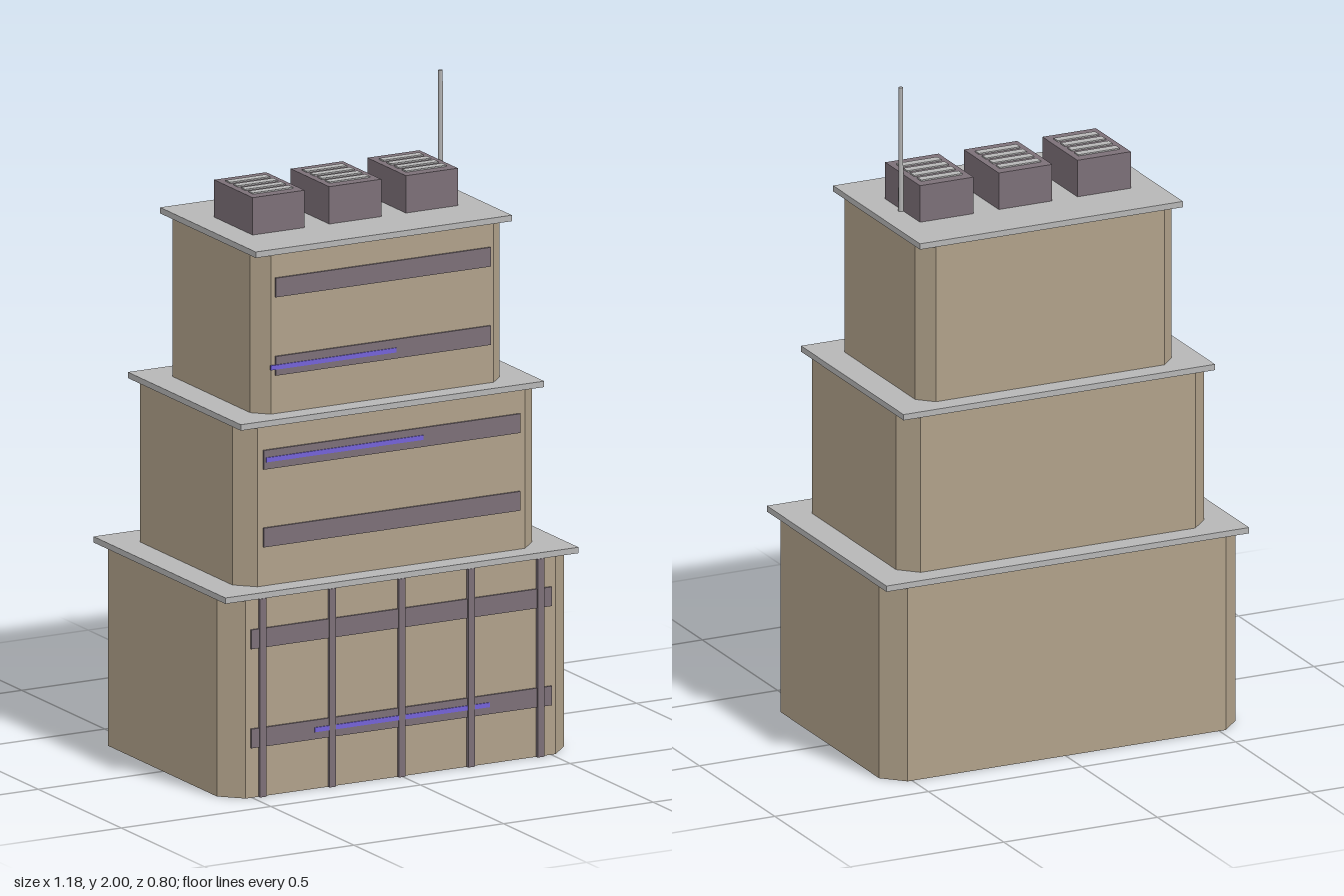
import * as THREE from 'three';

const mat = (name, color) => {
  const m = new THREE.MeshStandardMaterial({ color });
  m.name = name;
  return m;
};

export function createModel() {
  const group = new THREE.Group();
  const wall = mat('sandstone', 0xb0a18a);
  const concrete = mat('pale concrete', 0xb6b6b6);
  const dark = mat('dark trim', 0x7c7078);
  const violet = mat('violet light', 0x7462d8);
  const CX = -0.003, CZ = -0.003; // building axis

  const add = (name, geometry, material, x, y, z) => {
    const mesh = new THREE.Mesh(geometry, material);
    mesh.name = name;
    mesh.position.set(x, y, z);
    group.add(mesh);
    return mesh;
  };
  const box = (name, material, w, h, d, x, y, z) =>
    add(name, new THREE.BoxGeometry(w, h, d), material, x, y, z);

  // Upright block with chamfered corners
  const chamferedBlock = (a, b, c, h) => {
    const s = new THREE.Shape([
      [a - c, -b], [a, -b + c], [a, b - c], [a - c, b],
      [-a + c, b], [-a, b - c], [-a, -b + c], [-a + c, -b],
    ].map(([x, y]) => new THREE.Vector2(x, y)));
    return new THREE.ExtrudeGeometry(s, { depth: h, bevelEnabled: false }).rotateX(-Math.PI / 2);
  };

  // Three stepped tiers: half sizes, chamfer, slab half sizes, window bands, light strip
  const tiers = [
    { y: 0, top: 0.6, a: 0.58, b: 0.389, c: 0.062, sa: 0.59, sb: 0.397,
      band: 1.005, bands: [0.18, 0.48], strip: [-0.295, 0.29, 0.18] },
    { y: 0.617, top: 1.1, a: 0.501, b: 0.332, c: 0.054, sa: 0.507, sb: 0.34,
      band: 0.857, bands: [0.765, 1.0], strip: [-0.425, 0.1, 1.0] },
    { y: 1.117, top: 1.6, a: 0.417, b: 0.279, c: 0.045, sa: 0.428, sb: 0.288,
      band: 0.718, bands: [1.263, 1.5], strip: [-0.38, 0.04, 1.26] },
  ];
  for (const t of tiers) {
    const front = CZ + t.b;
    add('tierWall', chamferedBlock(t.a, t.b, t.c, t.top - t.y), wall, CX, t.y, CZ);
    box('roofSlab', concrete, t.sa * 2, 0.018, t.sb * 2, CX, t.top + 0.009, CZ);
    for (const y of t.bands) box('windowBand', dark, t.band, 0.058, 0.008, CX, y, front + 0.002);
    const [x0, x1, y] = t.strip;
    box('lightStrip', violet, x1 - x0, 0.014, 0.006, (x0 + x1) / 2, y, front + 0.006);
  }

  // Pilasters on the lowest tier
  for (let i = -2; i <= 2; i++)
    box('pilaster', dark, 0.022, 0.6, 0.016, CX + i * 0.232, 0.3, 0.388);

  // Rooftop cooling units with louvres
  for (let i = -1; i <= 1; i++) {
    const x = CX + i * 0.256;
    box('coolingUnit', dark, 0.174, 0.114, 0.232, x, 1.674, CZ);
    for (let j = 0; j < 4; j++)
      box('louvre', concrete, 0.134, 0.006, 0.027, x, 1.732, CZ - 0.069 + j * 0.046);
  }

  // Antenna mast
  add('antenna', new THREE.CylinderGeometry(0.007, 0.008, 0.383, 8), concrete, 0.346, 1.8085, CZ);

  return group;
}
